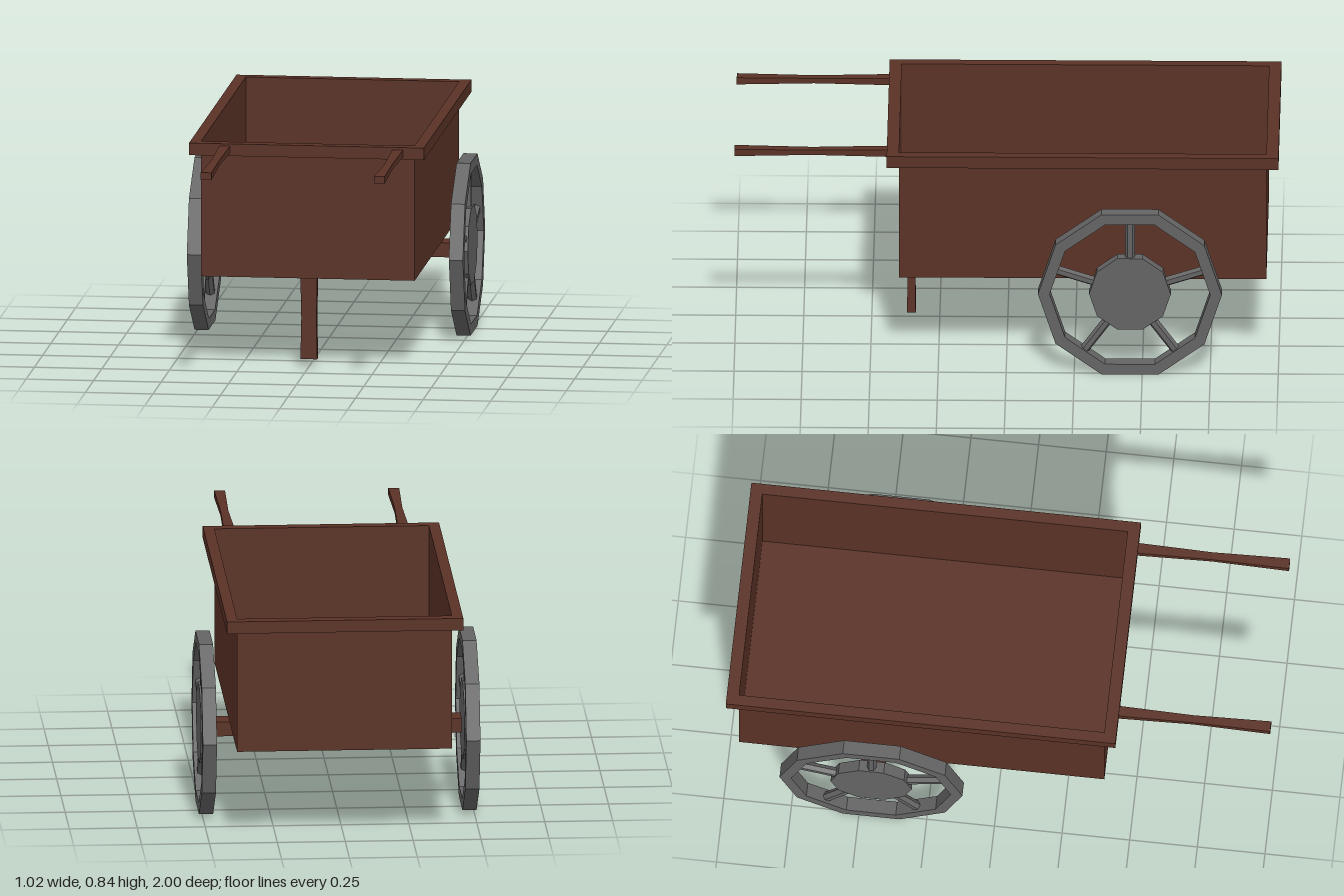
import * as THREE from 'three';

const wood = new THREE.MeshStandardMaterial({ color: 0x5a3226, flatShading: true, side: THREE.DoubleSide });
const iron = new THREE.MeshStandardMaterial({ color: 0x646464, flatShading: true });

function part(name, geometry, material, x = 0, y = 0, z = 0) {
  const mesh = new THREE.Mesh(geometry, material);
  mesh.name = name;
  mesh.position.set(x, y, z);
  return mesh;
}

function polygon(target, radius, sides) {
  const points = [];
  for (let i = 0; i < sides; i++) {
    const a = (i / sides) * Math.PI * 2;
    points.push(new THREE.Vector2(radius * Math.cos(a), radius * Math.sin(a)));
  }
  return target.setFromPoints(points).closePath();
}

function rectangle(target, x0, x1, y0, y1) {
  return target.moveTo(x0, y0).lineTo(x1, y0).lineTo(x1, y1).lineTo(x0, y1).closePath();
}

// Rectangular bar along z that narrows at its middle
function waistedBar(width, height, length, waist) {
  const geometry = new THREE.BoxGeometry(width, height, length, 1, 1, 2);
  const p = geometry.attributes.position;
  for (let i = 0; i < p.count; i++) {
    if (Math.abs(p.getZ(i)) < 0.001) p.setXY(i, p.getX(i) * waist, p.getY(i) * waist);
  }
  geometry.computeVertexNormals();
  return geometry;
}

// Ten-sided wheel with five spokes, its axis along x
function createWheel(name) {
  const wheel = new THREE.Group();
  wheel.name = name;
  const width = 0.052;

  const ring = polygon(new THREE.Shape(), 0.338, 10);
  ring.holes.push(polygon(new THREE.Path(), 0.295, 10));
  const tyre = new THREE.ExtrudeGeometry(ring, { depth: width, bevelEnabled: false });
  tyre.translate(0, 0, -width / 2).rotateY(Math.PI / 2);
  wheel.add(part('tyre', tyre, iron));

  const hub = new THREE.ExtrudeGeometry(polygon(new THREE.Shape(), 0.15, 10), { depth: 0.042, bevelEnabled: false });
  hub.translate(0, 0, -0.021).rotateY(Math.PI / 2);
  wheel.add(part('hub', hub, iron));

  for (let i = 0; i < 5; i++) {
    const spoke = new THREE.CylinderGeometry(0.018, 0.018, 0.17, 6, 1, true);
    spoke.translate(0, 0.205, 0).rotateX((i / 5) * Math.PI * 2);
    wheel.add(part('spoke', spoke, iron));
  }
  return wheel;
}

export function createModel() {
  const cart = new THREE.Group();
  cart.name = 'handcart';

  // Open tub: a box without its top face
  const tub = new THREE.BoxGeometry(0.79, 0.46, 1.35);
  const index = Array.from(tub.index.array);
  index.splice(12, 6);
  tub.setIndex(index);
  cart.add(part('tub', tub, wood, 0, 0.566, -0.28));

  // Rim around the top edge
  const outline = rectangle(new THREE.Shape(), -0.435, 0.435, -0.44, 1.0);
  outline.holes.push(rectangle(new THREE.Path(), -0.395, 0.395, -0.395, 0.955));
  const rim = new THREE.ExtrudeGeometry(outline, { depth: 0.045, bevelEnabled: false });
  rim.rotateX(-Math.PI / 2);
  cart.add(part('rim', rim, wood, 0, 0.795, 0));

  // Two pull handles at the front
  for (const x of [-0.303, 0.338]) {
    cart.add(part('handle', waistedBar(0.04, 0.027, 0.57, 0.72), wood, x, 0.818, 0.715));
  }

  // Front prop leg
  const leg = waistedBar(0.062, 0.032, 0.305, 0.9);
  leg.rotateX(-Math.PI / 2);
  cart.add(part('propLeg', leg, wood, 0, 0.183, 0.354));

  // Axle beam and wheels
  cart.add(part('axle', new THREE.BoxGeometry(0.92, 0.054, 0.09), wood, 0, 0.308, -0.457));
  for (const [name, side] of [['leftWheel', 1], ['rightWheel', -1]]) {
    const wheel = createWheel(name);
    wheel.position.set(side * 0.485, 0.323, -0.455);
    cart.add(wheel);
  }
  return cart;
}
